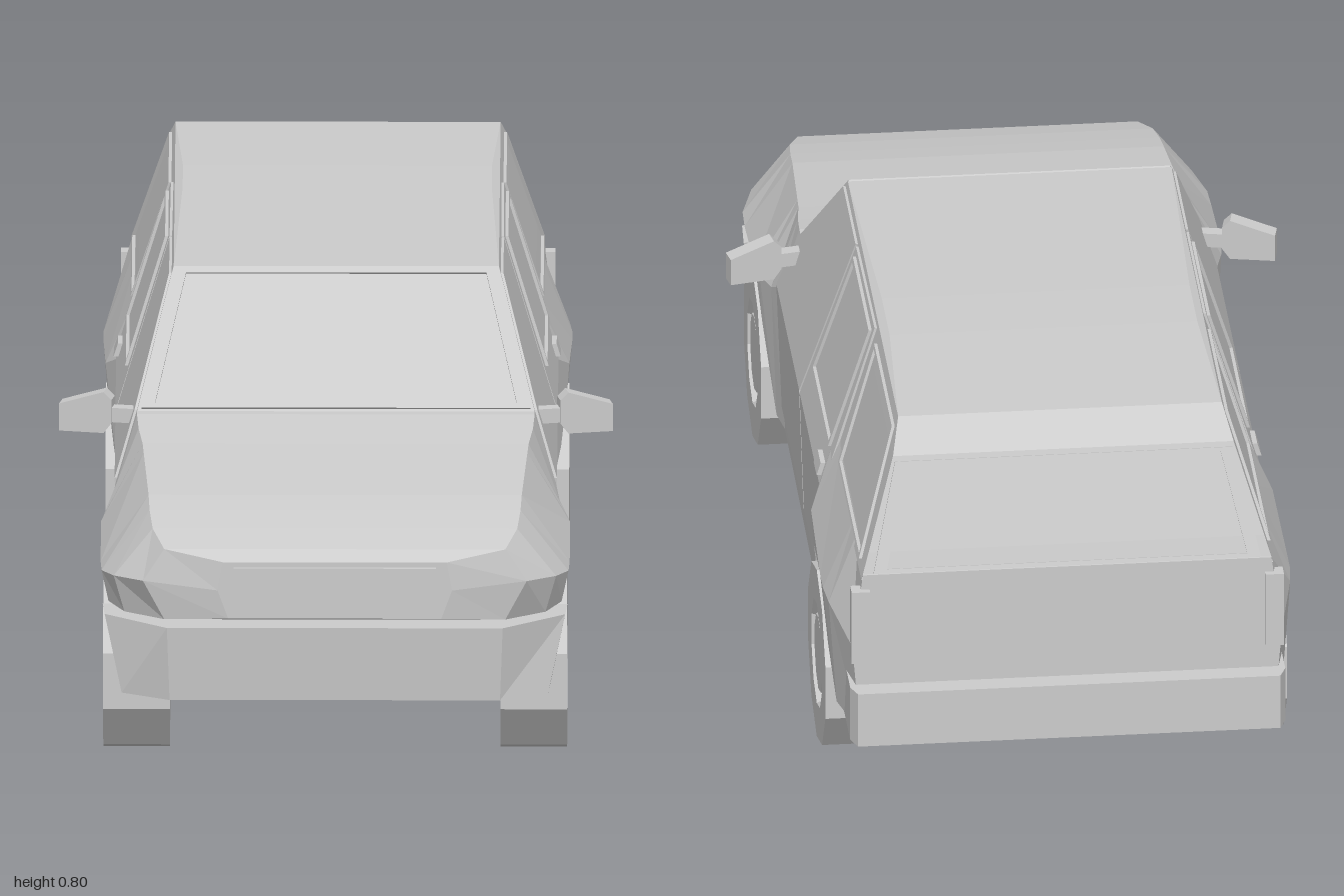
import * as THREE from 'three';

const material = new THREE.MeshStandardMaterial({ color: 0xcccccc, flatShading: true });

// Skin a list of equal-length rings and close both ends.
function loft(rings) {
  const out = [];
  const tri = (a, b, c) => out.push(...a, ...b, ...c);
  const n = rings[0].length;
  for (let i = 0; i < rings.length - 1; i++) {
    for (let j = 0; j < n; j++) {
      const k = (j + 1) % n;
      const [a, b, c, d] = [rings[i][j], rings[i][k], rings[i + 1][k], rings[i + 1][j]];
      tri(a, b, c);
      tri(a, c, d);
    }
  }
  const first = rings[0], last = rings[rings.length - 1];
  for (let j = 1; j < n - 1; j++) {
    tri(first[0], first[j + 1], first[j]);
    tri(last[0], last[j], last[j + 1]);
  }
  const g = new THREE.BufferGeometry();
  g.setAttribute('position', new THREE.Float32BufferAttribute(out, 3));
  g.computeVertexNormals();
  return g;
}

// Complete a half outline on +x with its mirror image.
const mirrorRing = (half) => [...half, ...half.map(([x, y, z]) => [-x, y, z]).reverse()];
// Horizontal ring from [x, z] points running front to back.
const plan = (y, half) => mirrorRing(half.map(([x, z]) => [x, y, z]));

// Reflected copy with its triangles turned the right way round.
function mirrored(geo) {
  const g = geo.index ? geo.toNonIndexed() : geo.clone();
  g.scale(-1, 1, 1);
  const p = g.attributes.position;
  const a = new THREE.Vector3(), b = new THREE.Vector3();
  for (let i = 0; i < p.count; i += 3) {
    a.fromBufferAttribute(p, i + 1);
    b.fromBufferAttribute(p, i + 2);
    p.setXYZ(i + 1, b.x, b.y, b.z);
    p.setXYZ(i + 2, a.x, a.y, a.z);
  }
  g.computeVertexNormals();
  return g;
}

// Flat polygon with thickness; inset < 1 cuts a smaller hole to leave a frame.
function plate(points, depth, inset = 0) {
  const pts = points.map(([x, y]) => new THREE.Vector2(x, y));
  const shape = new THREE.Shape(pts);
  if (inset) {
    const mid = pts.reduce((s, p) => s.add(p), new THREE.Vector2()).divideScalar(pts.length);
    shape.holes.push(new THREE.Path(pts.map((p) => p.clone().sub(mid).multiplyScalar(inset).add(mid))));
  }
  return new THREE.ExtrudeGeometry(shape, { depth, bevelEnabled: false });
}

// Width of the door and window plane at a given height.
const sideX = (y) => (y > 0.45 ? 0.41 - (y - 0.45) * 0.309 : 0.41 - (0.45 - y) * 0.033);

// Plate from [z, y] points laid on the left body side.
function sidePlate(points, depth, inset) {
  const g = plate(points.map(([z, y]) => [-z, y]), depth, inset);
  const p = g.attributes.position;
  for (let i = 0; i < p.count; i++) {
    p.setXYZ(i, sideX(p.getY(i)) + p.getZ(i), p.getY(i), -p.getX(i));
  }
  g.computeVertexNormals();
  return g;
}

export function createModel() {
  const model = new THREE.Group();
  const add = (name, geo) => {
    const mesh = new THREE.Mesh(geo, material);
    mesh.name = name;
    model.add(mesh);
    return mesh;
  };
  const addPair = (name, geo) => {
    add(name + 'Left', geo);
    add(name + 'Right', mirrored(geo));
  };

  // Lower body, rear to front: z, low x, low y, widest x, widest y, top x, top y
  const stations = [
    [-0.96, 0.39, 0.20, 0.405, 0.38, 0.385, 0.53],
    [-0.81, 0.42, 0.19, 0.435, 0.40, 0.379, 0.55],
    [-0.75, 0.43, 0.28, 0.44, 0.40, 0.379, 0.55],
    [-0.70, 0.43, 0.35, 0.44, 0.40, 0.379, 0.55],
    [-0.47, 0.43, 0.35, 0.435, 0.42, 0.379, 0.55],
    [-0.40, 0.405, 0.15, 0.41, 0.45, 0.373, 0.57],
    [0.39, 0.40, 0.15, 0.41, 0.45, 0.373, 0.57],
    [0.45, 0.41, 0.15, 0.42, 0.42, 0.37, 0.56],
    [0.52, 0.43, 0.31, 0.435, 0.41, 0.362, 0.55],
    [0.56, 0.43, 0.37, 0.44, 0.41, 0.36, 0.545],
    [0.76, 0.43, 0.36, 0.44, 0.39, 0.35, 0.52],
    [0.82, 0.425, 0.33, 0.438, 0.39, 0.348, 0.508],
    [0.89, 0.395, 0.33, 0.415, 0.40, 0.342, 0.492],
    [0.96, 0.32, 0.335, 0.36, 0.41, 0.32, 0.472],
    [0.99, 0.20, 0.345, 0.22, 0.40, 0.21, 0.455],
  ];
  add('lowerBody', loft(stations.map(([z, xl, yl, xw, yw, xt, yt]) =>
    mirrorRing([[xl, yl, z], [xw, yw, z], [xt, yt, z]]))));

  // Floor between the wheel wells
  const floor = new THREE.BoxGeometry(0.54, 0.2, 1.72);
  add('floorPan', floor.translate(0, 0.251, 0));

  // Cabin, bottom to top: y, half width, front z, rear z
  const levels = [
    [0.52, 0.388, 0.37, -0.96],
    [0.57, 0.373, 0.37, -0.945],
    [0.74, 0.321, 0.20, -0.885],
    [0.79, 0.305, 0.15, -0.82],
    [0.798, 0.29, -0.35, -0.50],
  ];
  add('cabin', loft(levels.map(([y, x, f, r]) => plan(y, [[x, f], [x, r]]))));

  // Windscreen and tailgate window frames
  const screen = plate([[-0.365, 0.005], [0.365, 0.005], [0.303, 0.305], [-0.303, 0.305]], 0.005, 0.93);
  add('windscreenFrame', screen.rotateX(-Math.PI / 4).translate(0, 0.57, 0.37));
  const backGlass = plate([[-0.365, -0.04], [0.365, -0.04], [0.318, 0.17], [-0.318, 0.17]], 0.005, 0.93);
  add('tailgateWindowFrame',
    backGlass.rotateX(-Math.atan(0.06 / 0.17)).rotateY(Math.PI).translate(0, 0.57, -0.945));

  // Doors, split at the waist crease
  addPair('frontDoorLower', sidePlate([[0.385, 0.2], [-0.035, 0.2], [-0.035, 0.45], [0.405, 0.45]], 0.005));
  addPair('frontDoorUpper', sidePlate(
    [[0.405, 0.45], [-0.035, 0.45], [-0.085, 0.778], [0.155, 0.778], [0.36, 0.57]], 0.005));
  addPair('rearDoorLower', sidePlate([[-0.045, 0.2], [-0.32, 0.2], [-0.42, 0.38], [-0.455, 0.45], [-0.045, 0.45]], 0.005));
  addPair('rearDoorUpper', sidePlate([[-0.045, 0.45], [-0.455, 0.45], [-0.44, 0.782], [-0.095, 0.778]], 0.005));
  addPair('rearDoorWindowFrame', sidePlate([[-0.09, 0.525], [-0.415, 0.525], [-0.425, 0.77], [-0.12, 0.77]], 0.011, 0.94));
  addPair('quarterWindowFrame', sidePlate([[-0.51, 0.54], [-0.91, 0.54], [-0.82, 0.77], [-0.48, 0.77]], 0.006, 0.95));
  addPair('doorHandle', sidePlate([[-0.36, 0.465], [-0.415, 0.465], [-0.415, 0.49], [-0.36, 0.49]], 0.014));

  // Bumpers
  add('frontBumper', loft([
    plan(0.18, [[0.31, 0.97], [0.40, 0.92], [0.405, 0.84]]),
    plan(0.325, [[0.315, 0.985], [0.432, 0.89], [0.436, 0.82]]),
  ]));
  add('rearBumper', loft([0.19, 0.30].map((y) => plan(y, [[0.41, -0.81], [0.41, -0.97], [0.398, -1]]))));

  // Grille and tail lamps
  add('grille', new THREE.BoxGeometry(0.38, 0.09, 0.02).translate(0, 0.4, 0.988));
  addPair('tailLamp', new THREE.BoxGeometry(0.035, 0.15, 0.03).translate(0.39, 0.425, -0.957));

  // Door mirrors: head and arm
  const head = plate([[0, 0.02], [0.015, 0], [0.1, 0], [0.1, 0.053], [0.015, 0.08], [0, 0.065]], 0.032);
  addPair('mirrorHead', head.rotateY(0.2).translate(0.415, 0.515, 0.3));
  addPair('mirrorArm', new THREE.BoxGeometry(0.06, 0.028, 0.025).rotateY(0.2).translate(0.395, 0.55, 0.32));

  // Ten-sided wheels with a shallow groove round the hub
  const profile = [[0, 0], [0.175, 0], [0.175, 0.125], [0.105, 0.125], [0.1, 0.113],
    [0.08, 0.113], [0.075, 0.122], [0, 0.122]].map(([r, y]) => new THREE.Vector2(r, y));
  for (const [name, z] of [['frontWheel', 0.66], ['rearWheel', -0.58]]) {
    const wheel = new THREE.LatheGeometry(profile, 10, Math.PI / 10);
    addPair(name, wheel.rotateZ(-Math.PI / 2).translate(0.31, 0.175, z));
  }
  return model;
}
